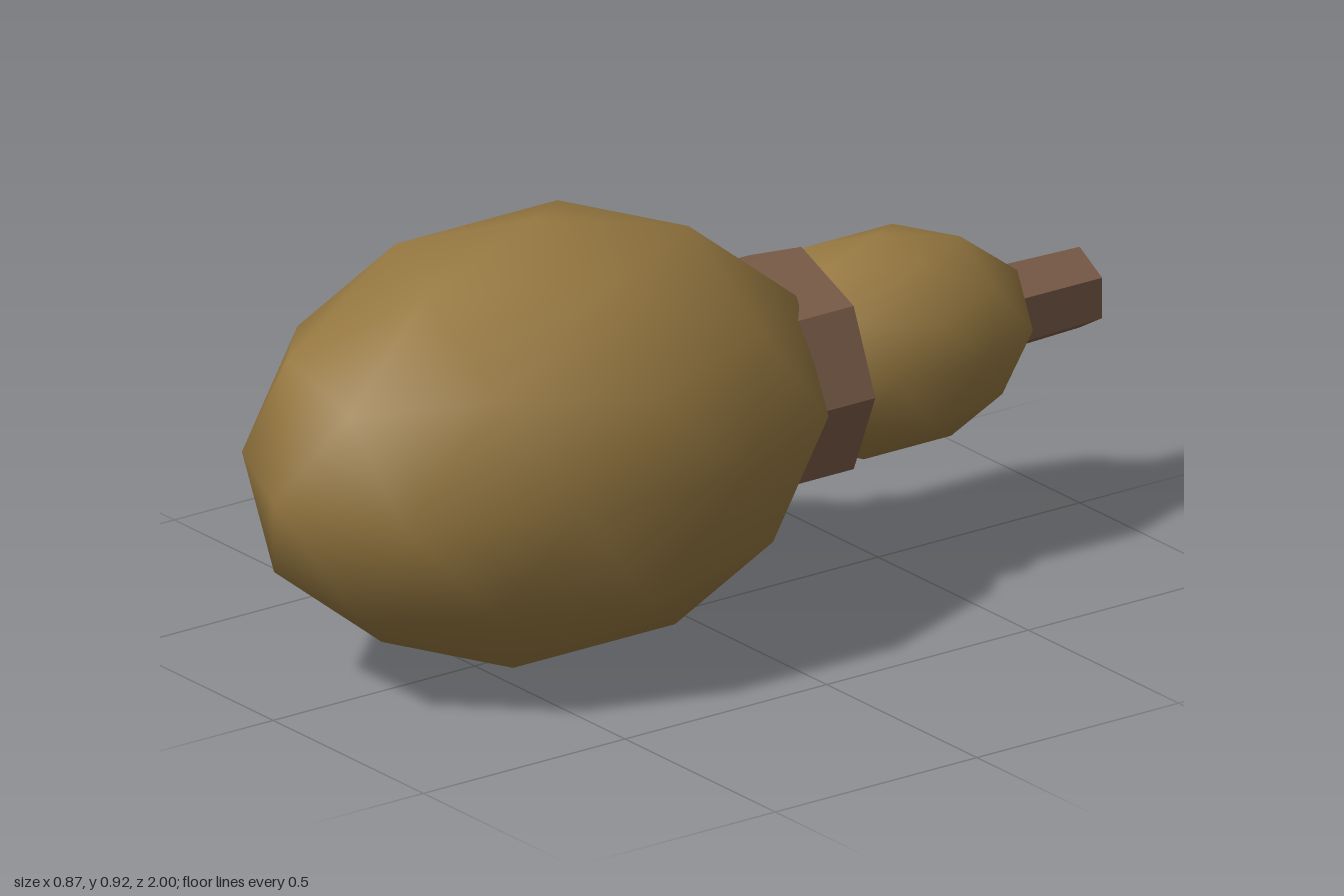
import * as THREE from 'three';

const CENTRE_Y = 0.46;

// Unit icosphere with its poles on y, subdivided once
function icosphere() {
  const h = 1 / Math.sqrt(5), r = 2 * h;
  const points = [0, 1, 0];
  for (const [y, turn] of [[h, 0], [-h, Math.PI / 5]]) {
    for (let i = 0; i < 5; i++) {
      const a = turn + (i * Math.PI * 2) / 5;
      points.push(r * Math.cos(a), y, r * Math.sin(a));
    }
  }
  points.push(0, -1, 0);
  const faces = [];
  for (let i = 0; i < 5; i++) {
    const j = (i + 1) % 5;
    const u = 1 + i, un = 1 + j, l = 6 + i, ln = 6 + j;
    faces.push(0, un, u, u, un, l, un, ln, l, 11, l, ln);
  }
  return new THREE.PolyhedronGeometry(points, faces, 1, 1);
}

export function createModel() {
  const group = new THREE.Group();
  const tan = new THREE.MeshStandardMaterial({ color: 0x967841 });
  tan.name = 'tan';
  const brown = new THREE.MeshStandardMaterial({ color: 0x7a5c48, flatShading: true, side: THREE.DoubleSide });
  brown.name = 'brown';

  const add = (name, geometry, material, z) => {
    const mesh = new THREE.Mesh(geometry, material);
    mesh.name = name;
    mesh.position.set(0, CENTRE_Y, z);
    group.add(mesh);
  };

  // Two egg-shaped bulbs, stretched along z
  add('largeBulb', icosphere().scale(0.46, 0.46, 0.65), tan, 0.35);
  add('smallBulb', icosphere().scale(0.23, 0.23, 0.35), tan, -0.5);

  // Open eight-sided collar around the neck, corners on the axes
  const collar = new THREE.CylinderGeometry(0.246, 0.246, 0.22, 8, 1, true).rotateX(Math.PI / 2);
  add('collar', collar, brown, -0.2);

  // Six-sided stem, slightly narrower at its back end, corners up and down
  const stem = new THREE.CylinderGeometry(0.095, 0.086, 0.3, 6).rotateX(Math.PI / 2);
  add('stem', stem, brown, -0.85);

  return group;
}
